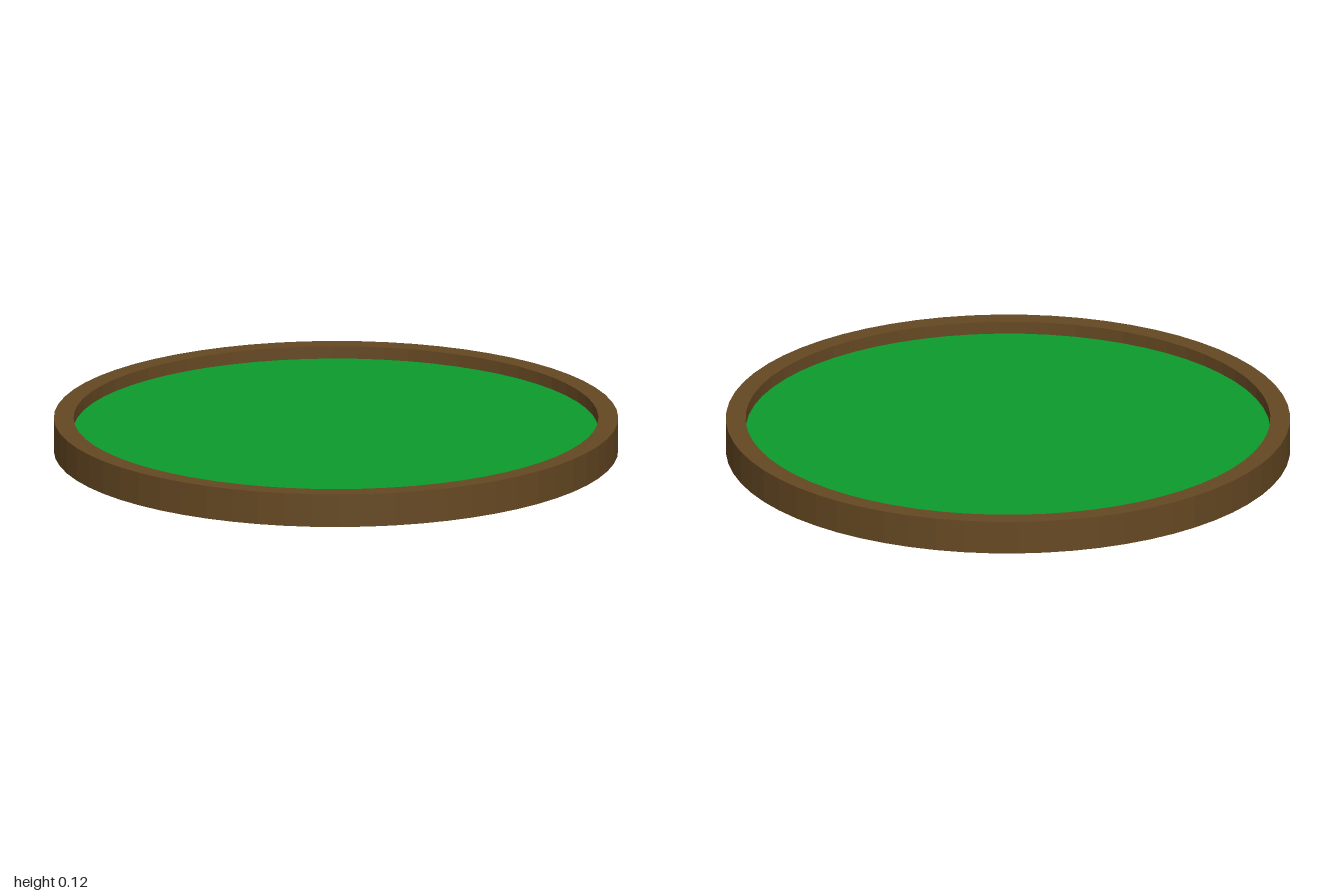
import * as THREE from 'three';

const SIDES = 64;
const RADIUS = 1;
const INNER = 0.93;
const HEIGHT = 0.12;
const FLOOR = 0.075;

export function createModel() {
  const wood = new THREE.MeshStandardMaterial({ color: 0x654822, flatShading: true });
  wood.name = 'brown wood';
  const felt = new THREE.MeshStandardMaterial({ color: 0x0d9b2c });
  felt.name = 'green felt';

  const model = new THREE.Group();
  model.name = 'roundTray';

  // Wooden base, outer wall, flat rim and inner wall in one profile
  const profile = [
    [0, 0], [RADIUS, 0], [RADIUS, HEIGHT], [INNER, HEIGHT], [INNER, FLOOR],
  ].map(([x, y]) => new THREE.Vector2(x, y));
  const frame = new THREE.Mesh(new THREE.LatheGeometry(profile, SIDES), wood);
  frame.name = 'woodenFrame';
  model.add(frame);

  // Sunken felt surface
  const surface = new THREE.Mesh(new THREE.CircleGeometry(INNER, SIDES).rotateX(-Math.PI / 2), felt);
  surface.name = 'feltSurface';
  surface.position.y = FLOOR;
  model.add(surface);

  return model;
}
